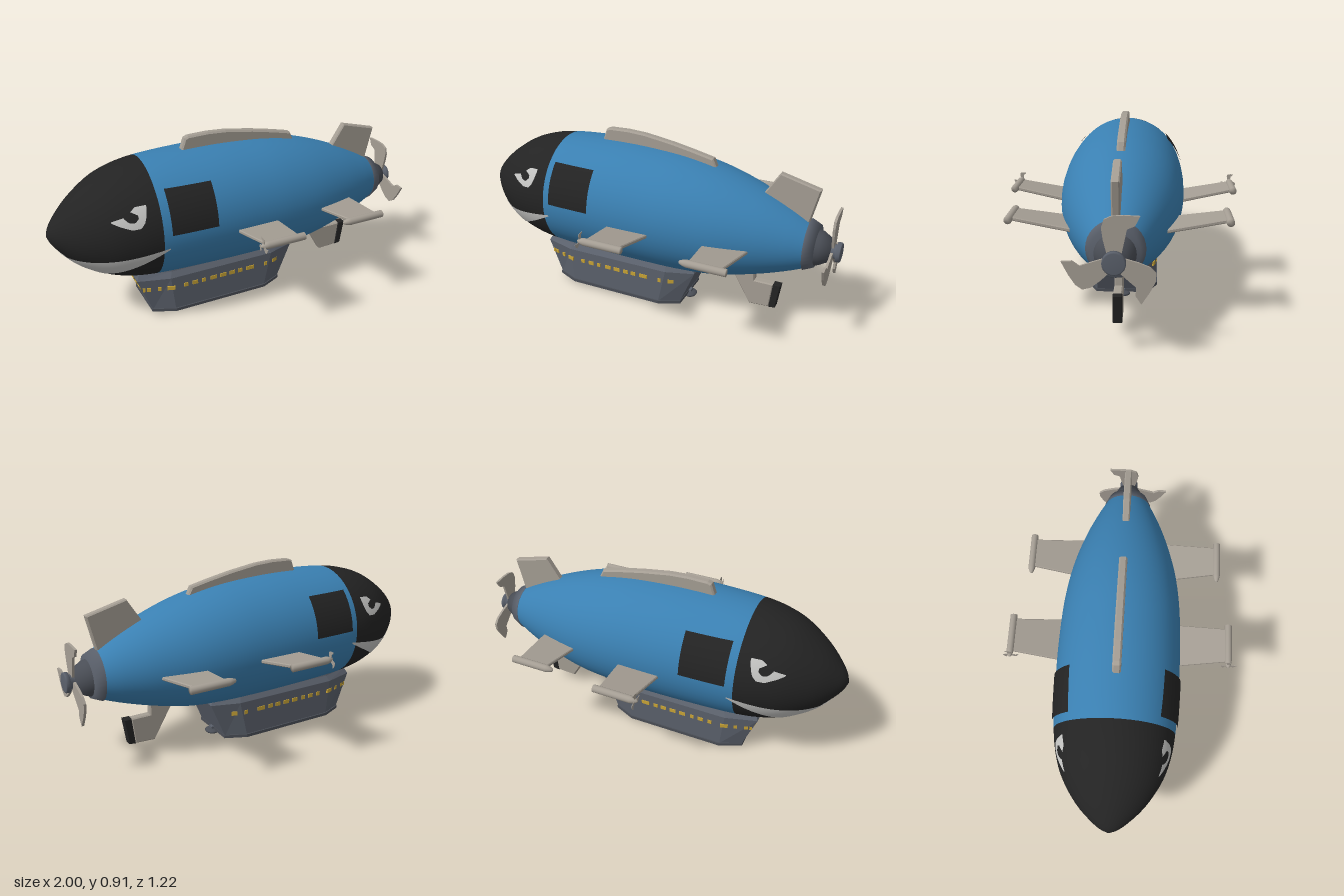
import * as THREE from 'three';

const mat = (name, color, side = THREE.FrontSide) => {
  const m = new THREE.MeshStandardMaterial({ color, side });
  m.name = name;
  return m;
};
const Z0 = -0.006; // centre line of the craft

// Hull stations: x, centre height, radius
const stations = new THREE.CatmullRomCurve3([
  [-1, 0.52, 0], [-0.985, 0.52, 0.04], [-0.95, 0.519, 0.088], [-0.87, 0.517, 0.168], [-0.74, 0.522, 0.25],
  [-0.63, 0.525, 0.287], [-0.51, 0.527, 0.306], [-0.2, 0.527, 0.319], [0, 0.523, 0.318], [0.2, 0.514, 0.308],
  [0.4, 0.5, 0.279], [0.6, 0.488, 0.222], [0.75, 0.476, 0.163], [0.85, 0.467, 0.115],
].map(p => new THREE.Vector3(...p))).getPoints(260);

function table(points, x) { // piecewise linear lookup, returns the remaining columns
  let i = 1;
  while (i < points.length - 1 && points[i][0] < x) i++;
  const a = points[i - 1], b = points[i];
  const t = Math.min(1, Math.max(0, (x - a[0]) / (b[0] - a[0] || 1)));
  return a.slice(1).map((v, k) => v + (b[k + 1] - v) * t);
}
const rows = stations.map(p => [p.x, p.y, p.z]);
const hull = x => table(rows, x);
const angleAt = (x, y) => {
  const [c, r] = hull(x);
  return r < 1e-4 ? 0 : Math.asin(Math.min(1, Math.max(-1, (y - c) / r)));
};

// Grid lying on the hull between two angles at each x, lifted by off
function hullPatch(xs, lo, hi, n, off = 0) {
  const pos = [], nor = [], idx = [], e = 0.008;
  xs.forEach((x, i) => {
    const [c, r] = hull(x), x0 = Math.max(-1, x - e), x1 = Math.min(0.85, x + e);
    const A = hull(x0), B = hull(x1), dc = (B[0] - A[0]) / (x1 - x0), dr = (B[1] - A[1]) / (x1 - x0);
    for (let j = 0; j <= n; j++) {
      const a = lo(x) + (hi(x) - lo(x)) * j / n, s = Math.sin(a), k = Math.cos(a);
      const v = new THREE.Vector3(x === -1 ? -1 : -(dr + dc * s), x === -1 ? 0 : s, x === -1 ? 0 : k).normalize();
      pos.push(x + v.x * off, c + r * s + v.y * off, Z0 + r * k + v.z * off);
      nor.push(v.x, v.y, v.z);
      if (i && j) {
        const q = i * (n + 1) + j, p = q - n - 1;
        idx.push(p - 1, q - 1, p, q - 1, q, p);
      }
    }
  });
  const g = new THREE.BufferGeometry();
  g.setAttribute('position', new THREE.Float32BufferAttribute(pos, 3));
  g.setAttribute('normal', new THREE.Float32BufferAttribute(nor, 3));
  g.setIndex(idx);
  return g;
}
const range = (a, b, n) => Array.from({ length: n + 1 }, (_, i) => a + (b - a) * i / n);

// Flat-sided loft through eight-cornered plans: y, front, front chamfer, rear chamfer, rear, half width, end half width
function octLoft(sections) {
  const pos = [], idx = [], top = (sections.length - 1) * 8;
  sections.forEach(([y, f, fc, bc, b, w, e]) => {
    for (const [x, z] of [[f, e], [fc, w], [bc, w], [b, e], [b, -e], [bc, -w], [fc, -w], [f, -e]]) pos.push(x, y, Z0 + z);
  });
  for (let i = 0; i < top; i += 8) for (let j = 0; j < 8; j++) {
    const k = (j + 1) % 8;
    idx.push(i + j, i + k, i + 8 + k, i + j, i + 8 + k, i + 8 + j);
  }
  for (let j = 1; j < 7; j++) idx.push(0, j + 1, j, top, top + j, top + j + 1);
  const g = new THREE.BufferGeometry();
  g.setAttribute('position', new THREE.Float32BufferAttribute(pos, 3));
  g.setIndex(idx);
  const flat = g.toNonIndexed();
  flat.computeVertexNormals();
  return flat;
}

// Plate from an outline, centred on its thickness
function plate(points, t, bevel = 0) {
  const g = new THREE.ExtrudeGeometry(new THREE.Shape(points.map(p => new THREE.Vector2(...p))), {
    depth: t - 2 * bevel, bevelEnabled: bevel > 0, bevelSize: bevel, bevelOffset: -bevel, bevelThickness: bevel, bevelSegments: 1,
  });
  return g.translate(0, 0, -t / 2 + bevel);
}
// Turned part along x from [x, radius] pairs
const turned = (points, n = 24) => new THREE.LatheGeometry(points.map(([x, r]) => new THREE.Vector2(r, x)), n).rotateZ(-Math.PI / 2);

export function createModel() {
  const blue = mat('hullBlue', 0x3a80b2), black = mat('black', 0x232323), bone = mat('finGrey', 0xa59e94);
  const slate = mat('slate', 0x5b616c), darkSlate = mat('darkSlate', 0x4a4e56);
  const yellow = mat('windowYellow', 0xc9a436), white = mat('paleGrey', 0xc4c4c2, THREE.DoubleSide);
  const root = new THREE.Group();
  root.name = 'airship';
  const add = (name, geo, m, x = 0, y = 0, z = 0, parent = root) => {
    const mesh = new THREE.Mesh(geo, m);
    mesh.name = name;
    mesh.position.set(x, y, z);
    parent.add(mesh);
    return mesh;
  };

  // Hull and black nose
  const full = [() => -Math.PI / 2, () => Math.PI * 1.5, 48];
  add('nose', hullPatch([-1, -0.996, -0.99, -0.98, -0.965, ...range(-0.95, -0.51, 16)], ...full), black);
  add('hull', hullPatch(range(-0.51, 0.85, 40), ...full), blue);

  // Painted mouth, eyes and side panels, both sides
  const decal = (name, xs, up, low, m, off, n = 6) => {
    const hi = x => angleAt(x, table(up, x)[0]), lo = x => Math.min(hi(x), angleAt(x, table(low, x)[0]));
    add(name + 'Left', hullPatch(xs, lo, hi, n, off), m);
    add(name + 'Right', hullPatch(xs, x => Math.PI - hi(x), x => Math.PI - lo(x), n, off), m);
  };
  decal('mouth', range(-0.955, -0.48, 28), [[-0.96, 0.42], [-0.82, 0.425], [-0.66, 0.45], [-0.48, 0.482]],
    [[-0.96, 0.2], [-0.83, 0.2], [-0.805, 0.305], [-0.675, 0.368], [-0.48, 0.475]], white, 0.003, 12);
  decal('eye', range(-0.735, -0.57, 16), [[-0.735, 0.642], [-0.68, 0.658], [-0.65, 0.678], [-0.62, 0.699], [-0.57, 0.703]],
    [[-0.735, 0.636], [-0.7, 0.62], [-0.65, 0.602], [-0.61, 0.606], [-0.585, 0.635], [-0.57, 0.69]], white, 0.003);
  decal('pupil', range(-0.68, -0.615, 8), [[-0.68, 0.662], [-0.65, 0.682], [-0.615, 0.665]],
    [[-0.68, 0.655], [-0.66, 0.635], [-0.635, 0.632], [-0.615, 0.65]], black, 0.005);
  decal('sidePanel', range(-0.47, -0.235, 6), [[-0.47, 0.75], [-0.235, 0.75]], [[-0.47, 0.55], [-0.235, 0.55]], black, 0.008, 8);

  // Tail cone and hub
  add('tailRing', turned([[0.832, 0.12], [0.832, 0.13], [0.88, 0.108], [0.88, 0]], 32), slate, 0, 0.467, Z0);
  add('tailCone', turned([[0.875, 0.092], [0.9, 0.085], [0.95, 0.056], [0.95, 0]]), darkSlate, 0, 0.46, Z0);
  add('hub', turned([[0.94, 0.036], [0.975, 0.036], [0.975, 0.05], [0.994, 0.05], [0.998, 0.044], [0.998, 0]]), slate, 0, 0.458, Z0);

  // Three-bladed propellers
  const blade = plate([[0.03, 0.03], [0.045, 0.1], [0.052, 0.135], [0.085, 0.15], [0.105, 0.19], [0.04, 0.193], [-0.01, 0.19],
    [-0.042, 0.175], [-0.052, 0.14], [-0.045, 0.09], [-0.03, 0.03]], 0.012).rotateY(Math.PI / 2);
  const propeller = (name, x, y, z, s) => {
    const g = new THREE.Group();
    g.name = name;
    g.position.set(x, y, z);
    g.scale.setScalar(s);
    for (let i = 0; i < 3; i++) add('blade', blade, bone, 0, 0, 0, g).rotation.x = i * Math.PI * 2 / 3;
    root.add(g);
  };
  propeller('tailPropeller', 0.957, 0.458, Z0, 1);

  // Fins and rudder on the centre line
  add('backFin', plate([[-0.31, 0.8], [-0.275, 0.9], [-0.255, 0.908], [-0.15, 0.911], [-0.05, 0.905], [0.1, 0.882], [0.22, 0.858],
    [0.325, 0.834], [0.345, 0.79], [0.2, 0.78], [0, 0.8]], 0.042, 0.008), bone, 0, 0, Z0);
  add('tailFin', plate([[0.58, 0.68], [0.67, 0.82], [0.872, 0.767], [0.825, 0.56], [0.65, 0.6]], 0.038, 0.006), bone, 0, 0, Z0);
  add('rudderStrut', plate([[0.44, 0.26], [0.56, 0.056], [0.667, 0.062], [0.682, 0.202], [0.58, 0.202], [0.575, 0.3]], 0.042, 0.006), bone, 0, 0, Z0);
  add('rudder', plate([[0.665, 0.062], [0.7, 0.066], [0.72, 0.203], [0.681, 0.203]], 0.044, 0.003), black, 0, 0, Z0);

  // Side wings with pods; the front pair carry small propellers
  const wings = [
    { name: 'front', outline: [[-0.135, 0], [0.113, 0], [0.073, 0.38], [-0.105, 0.38]], pod: [-0.14, 0.095], z: 0.57, y: 0.54, tilt: 0.19 },
    { name: 'rear', outline: [[0.37, 0], [0.597, 0], [0.563, 0.31], [0.402, 0.31]], pod: [0.358, 0.59], z: 0.508, y: 0.515, tilt: 0.155 },
  ];
  for (const w of wings) for (const s of [1, -1]) {
    const side = s > 0 ? 'Left' : 'Right', [a, b] = w.pod;
    add(w.name + 'Wing' + side, plate(w.outline, 0.018, 0.004), bone, 0, 0.468, Z0 + s * 0.2).rotation.x = s * (Math.PI / 2 - w.tilt);
    add(w.name + 'Pod' + side, turned([[a, 0], [a + 0.006, 0.009], [a + 0.025, 0.016], [a + 0.04, 0.019], [b, 0.019], [b, 0]], 16),
      bone, 0, w.y, Z0 + s * w.z);
    if (w.name === 'front') propeller('podPropeller' + side, -0.125, w.y, Z0 + s * w.z, 0.21);
  }

  // Gondola with base plate and rear foot
  add('gondola', octLoft([[0.03, -0.53, -0.42, 0.1, 0.207, 0.177, 0.13], [0.222, -0.605, -0.44, 0.14, 0.287, 0.177, 0.13],
    [0.25, -0.59, -0.43, 0.13, 0.27, 0.157, 0.115], [0.3, -0.57, -0.42, 0.12, 0.25, 0.14, 0.1]]), slate);
  add('basePlate', octLoft([[0.02, -0.535, -0.42, 0.1, 0.212, 0.184, 0.134], [0.036, -0.535, -0.42, 0.1, 0.212, 0.184, 0.134]]), darkSlate);
  add('rearFoot', new THREE.SphereGeometry(1, 16, 8).scale(0.034, 0.013, 0.043), darkSlate, 0.218, 0.015, Z0);
  add('footStem', new THREE.BoxGeometry(0.05, 0.02, 0.03), slate, 0.2, 0.03, Z0);

  // Gondola windows along the sides, chamfers and front
  const wall = [[-0.583, 0.13], [-0.434, 0.177], [0.128, 0.177], [0.262, 0.13]];
  const windows = [[-0.573, 0.014], [-0.55, 0.02], [-0.497, 0.018], [-0.44, 0.04], [-0.36, 0.022], [-0.308, 0.03], [-0.26, 0.02], [-0.203, 0.035],
    [-0.148, 0.035], [-0.094, 0.03], [-0.048, 0.026], [0.012, 0.045], [0.107, 0.018], [0.168, 0.032]];
  for (const s of [1, -1]) for (const [x, w] of windows) {
    const slope = (table(wall, x + 0.005)[0] - table(wall, x - 0.005)[0]) / 0.01;
    add('window', new THREE.BoxGeometry(w, 0.021, 0.008), yellow, x, 0.165, Z0 + s * table(wall, x)[0]).rotation.y = -s * Math.atan(slope);
  }
  for (const z of [-0.09, -0.045, 0, 0.045, 0.09])
    add('frontWindow', new THREE.BoxGeometry(0.008, 0.021, 0.026), yellow, -0.583, 0.165, Z0 + z).rotation.z = 0.37;

  return root;
}
